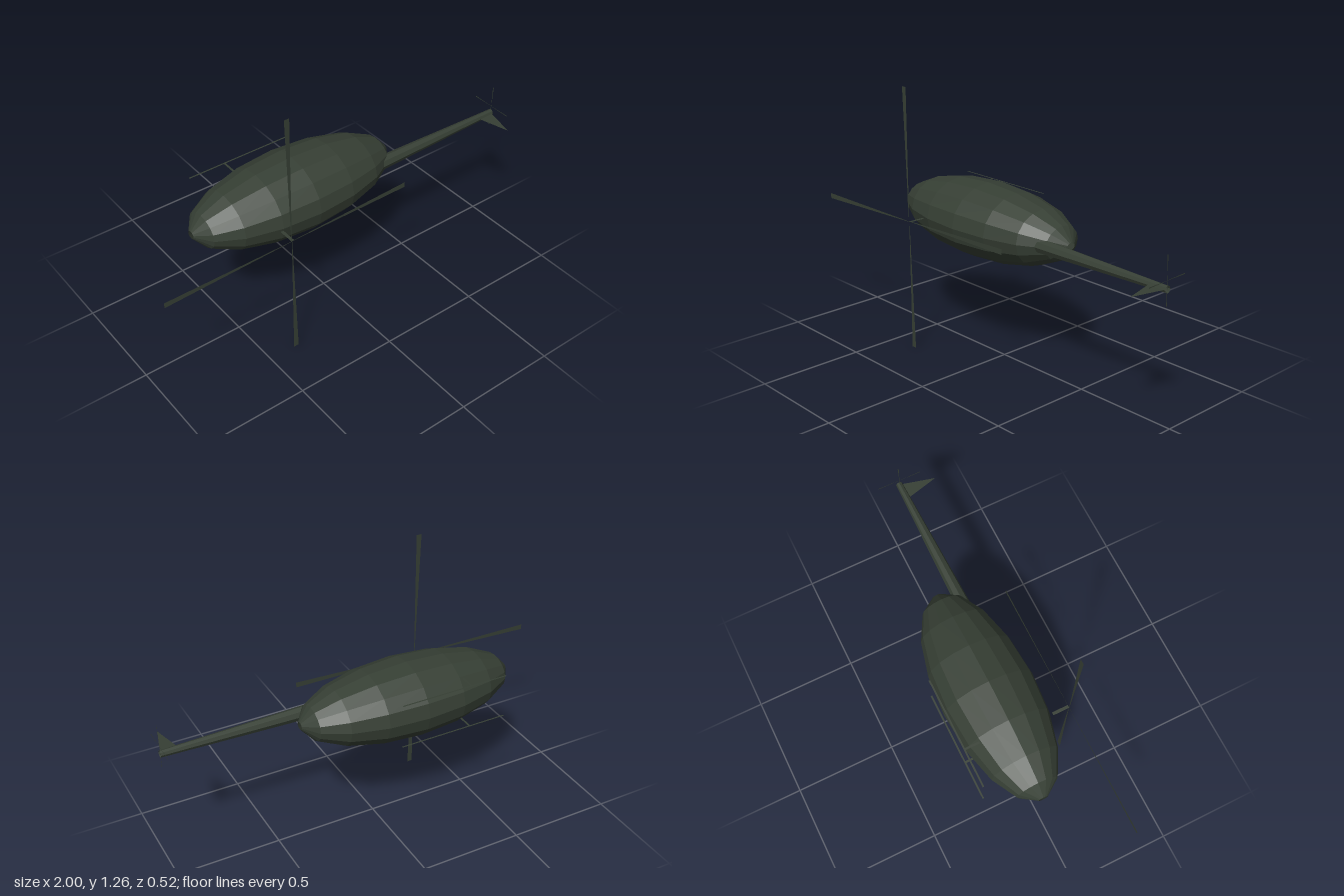
import * as THREE from 'three';

export function createModel() {
  const model = new THREE.Group();
  const paint = new THREE.MeshStandardMaterial({ color: 0x363f34, flatShading: true, side: THREE.DoubleSide });
  const MID = 0.633; // height of the symmetry plane

  function add(name, geometry, x, y, z, parent = model) {
    const mesh = new THREE.Mesh(geometry, paint);
    mesh.name = name;
    mesh.position.set(x, y, z);
    parent.add(mesh);
    return mesh;
  }

  // Thin flat part drawn in x and y
  function plate(points) {
    return new THREE.ShapeGeometry(new THREE.Shape(points.map(([x, y]) => new THREE.Vector2(x, y))));
  }

  // Four tapered flat blades, each with one radial edge
  function rotor(name, length, root, tip) {
    const group = new THREE.Group();
    group.name = name;
    for (let i = 0; i < 4; i++) {
      const blade = add('blade', plate([[0, 0], [length, 0], [length, tip], [0, root]]), 0, 0, 0, group);
      blade.rotation.z = i * Math.PI / 2;
    }
    model.add(group);
    return group;
  }

  // Faceted egg-shaped hull with small open ends
  const hull = new THREE.SphereGeometry(1, 16, 8, 0, Math.PI * 2, 0.1, Math.PI - 0.2);
  hull.rotateZ(Math.PI / 2).scale(0.54, 0.178, 0.223);
  add('fuselage', hull, -0.152, MID, -0.037);

  // Tapered tail boom running along +x
  const boom = new THREE.CylinderGeometry(0.016, 0.034, 0.73, 8, 1, true);
  boom.rotateZ(-Math.PI / 2);
  add('tailBoom', boom, 0.635, MID, 0.055);

  // Flat triangular fin at the end of the boom
  const fin = plate([[0.91, 0.06], [1, 0.04], [0.952, 0.225]]);
  fin.rotateX(Math.PI / 2);
  add('tailFin', fin, 0, MID, 0);

  // Mast and main rotor
  add('mast', new THREE.PlaneGeometry(0.015, 0.08).rotateX(Math.PI / 2), -0.364, MID, 0.22);
  rotor('mainRotor', 0.632, 0.002, 0.026).position.set(-0.37, MID, 0.26);

  // Tail rotor at the boom tip
  const tailRotor = rotor('tailRotor', 0.109, 0.001, 0.005);
  tailRotor.rotation.y = Math.PI / 2;
  tailRotor.position.set(0.997, 0.67, 0.057);

  // A pair of skids, each with a short strut
  for (const side of [-1, 1]) {
    const y = MID + side * 0.108;
    add('skid', new THREE.PlaneGeometry(0.54, 0.008).rotateX(Math.PI / 2), -0.28, y, -0.26);
    add('skidStrut', new THREE.PlaneGeometry(0.01, 0.075).rotateX(Math.PI / 2), -0.364, y, -0.222);
  }
  return model;
}
